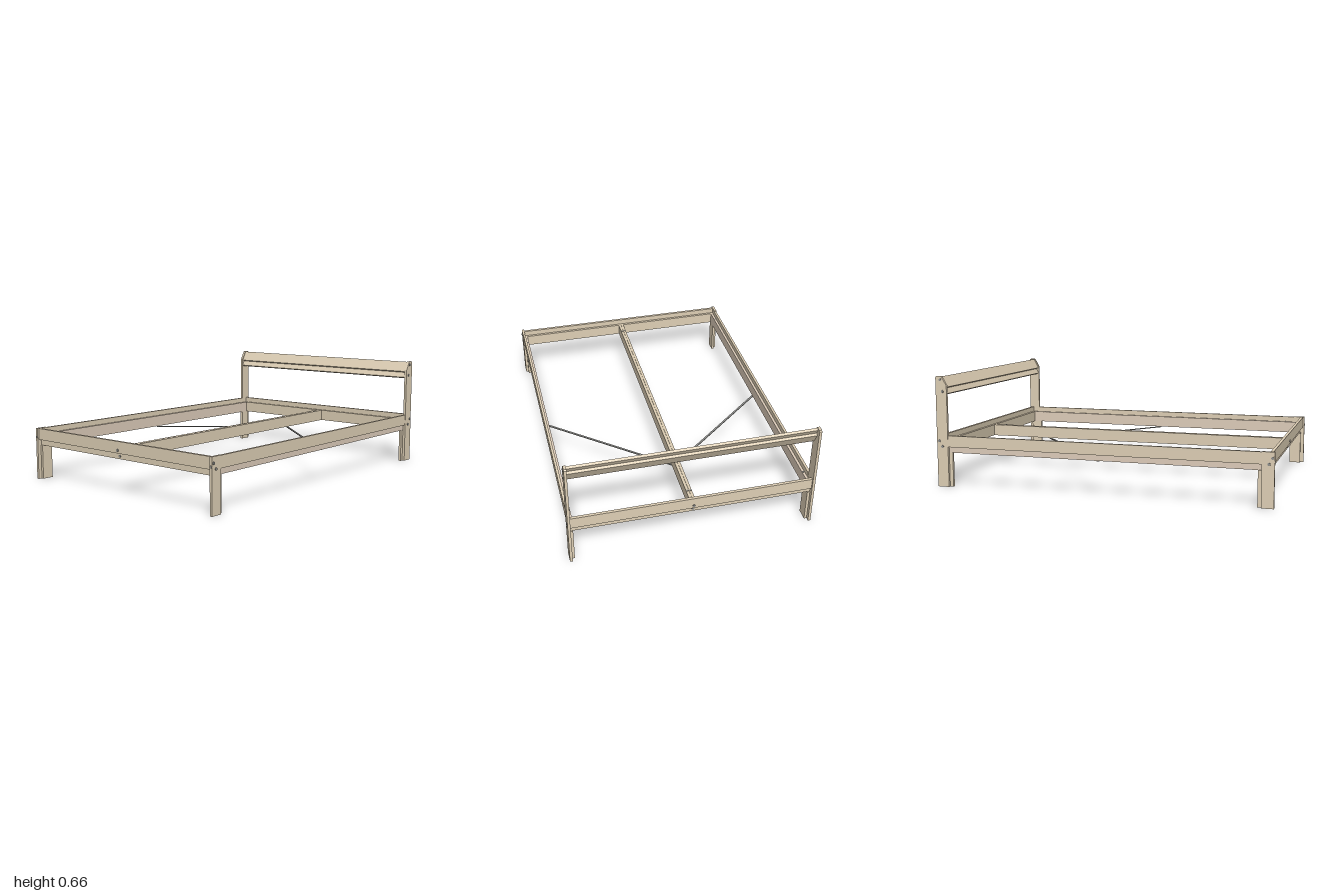
import * as THREE from 'three';

const T = 0.0155;   // plank thickness
const W = 0.07;     // plank width
const POST_X = 0.708, INNER_X = POST_X - T;

export function createModel() {
  const bed = new THREE.Group();
  bed.name = 'bedFrame';
  const wood = new THREE.MeshStandardMaterial({ color: 0xdfd0b6 });
  wood.name = 'pale pine';
  const ledgeWood = new THREE.MeshStandardMaterial({ color: 0xdfcebb });
  ledgeWood.name = 'rosy pine';
  const metal = new THREE.MeshStandardMaterial({ color: 0x8f8f8c });
  metal.name = 'steel';

  const add = (name, geometry, material, x = 0, y = 0, z = 0) => {
    const mesh = new THREE.Mesh(geometry, material);
    mesh.name = name;
    mesh.position.set(x, y, z);
    bed.add(mesh);
    return mesh;
  };
  // Plank given by its minimum and maximum corners
  const plank = (name, [x0, y0, z0], [x1, y1, z1], material = wood) =>
    add(name, new THREE.BoxGeometry(x1 - x0, y1 - y0, z1 - z0), material,
      (x0 + x1) / 2, (y0 + y1) / 2, (z0 + z1) / 2);
  // Round bolt head with its axis along x, y or z
  const bolt = (axis, x, y, z, r = 0.008) => {
    const head = add('boltHead', new THREE.CylinderGeometry(r, r, 0.008, 12), metal, x, y, z);
    if (axis === 'x') head.rotation.z = Math.PI / 2;
    if (axis === 'z') head.rotation.x = Math.PI / 2;
  };

  // Head post outline, (z, y), sloped at the upper front
  const postShape = new THREE.Shape([
    [-1, 0], [-0.93, 0], [-0.93, 0.605], [-0.962, 0.66], [-0.994, 0.66], [-1, 0.652],
  ].map(([z, y]) => new THREE.Vector2(z, y)));

  for (const s of [1, -1]) {
    const span = (a, b) => (s > 0 ? [a, b] : [-b, -a]);
    const side = (name, a, b, y0, y1, z0, z1, material) => {
      const [x0, x1] = span(a, b);
      plank(name, [x0, y0, z0], [x1, y1, z1], material);
    };

    // Posts and the shorter inner legs
    const headPost = new THREE.ExtrudeGeometry(postShape, { depth: T, bevelEnabled: false });
    headPost.rotateY(-Math.PI / 2);
    add('headPost', headPost, wood, s > 0 ? POST_X : -INNER_X);
    side('footPost', INNER_X, POST_X, 0, 0.31, 0.93, 1);
    side('footInnerLeg', INNER_X - T, INNER_X, 0, 0.205, 0.908, 0.978);
    side('headInnerLeg', INNER_X - T, INNER_X, 0, 0.205, -0.978, -0.908);

    // Side rail: outer board and lower inner ledge
    side('sideBoard', 0.69, 0.705, 0.24, 0.308, -0.93, 0.93);
    side('sideLedge', 0.675, 0.69, 0.205, 0.275, -0.957, 0.957, ledgeWood);

    // Half of the doubled centre beam
    side('centreBeam', 0.0005, 0.0165, 0.205, 0.275, -0.957, 0.957);

    // Diagonal brace under the rails
    const dx = 0.67, dz = 0.56;
    const brace = add('diagonalBrace',
      new THREE.BoxGeometry(Math.hypot(dx, dz), 0.005, 0.012), metal, s * 0.345, 0.2025, -0.28);
    brace.rotation.y = -s * Math.atan2(dz, dx);

    // Bolts on the posts
    for (const [z, y] of [[0.988, 0.276], [0.969, 0.243], [-0.985, 0.276], [-0.965, 0.243],
      [-0.969, 0.64], [-0.956, 0.57]]) bolt('x', s * POST_X, y, z);
    bolt('z', s * 0.7, 0.257, 0.998, 0.007);

    // Screws on the ledges and beam
    for (const z of [-0.88, 0.875]) {
      bolt('y', s * 0.683, 0.273, z, 0.006);
      bolt('y', s * 0.0085, 0.273, z, 0.006);
    }

    // End rails at foot (s = 1) and head (s = -1)
    const end = s > 0 ? 'foot' : 'head';
    const [b0, b1] = span(0.973, 0.99);
    plank(end + 'Board', [-INNER_X, 0.24, b0], [INNER_X, 0.308, b1]);
    const [l0, l1] = span(0.957, 0.973);
    plank(end + 'Ledge', [-INNER_X, 0.205, l0], [INNER_X, 0.275, l1]);
    bolt('z', 0, 0.257, s * 0.99);
    bolt('z', 0, 0.222, s * 0.973);
  }

  // Leaning headboard: two overlapping parallel planks
  const tilt = THREE.MathUtils.degToRad(28);
  for (const [name, y, z] of [['headboardUpper', 0.623, -0.957], ['headboardLower', 0.585, -0.9546]]) {
    const board = add(name, new THREE.BoxGeometry(2 * INNER_X, W, 0.016), wood, 0, y, z);
    board.rotation.x = -tilt;
  }
  return bed;
}
